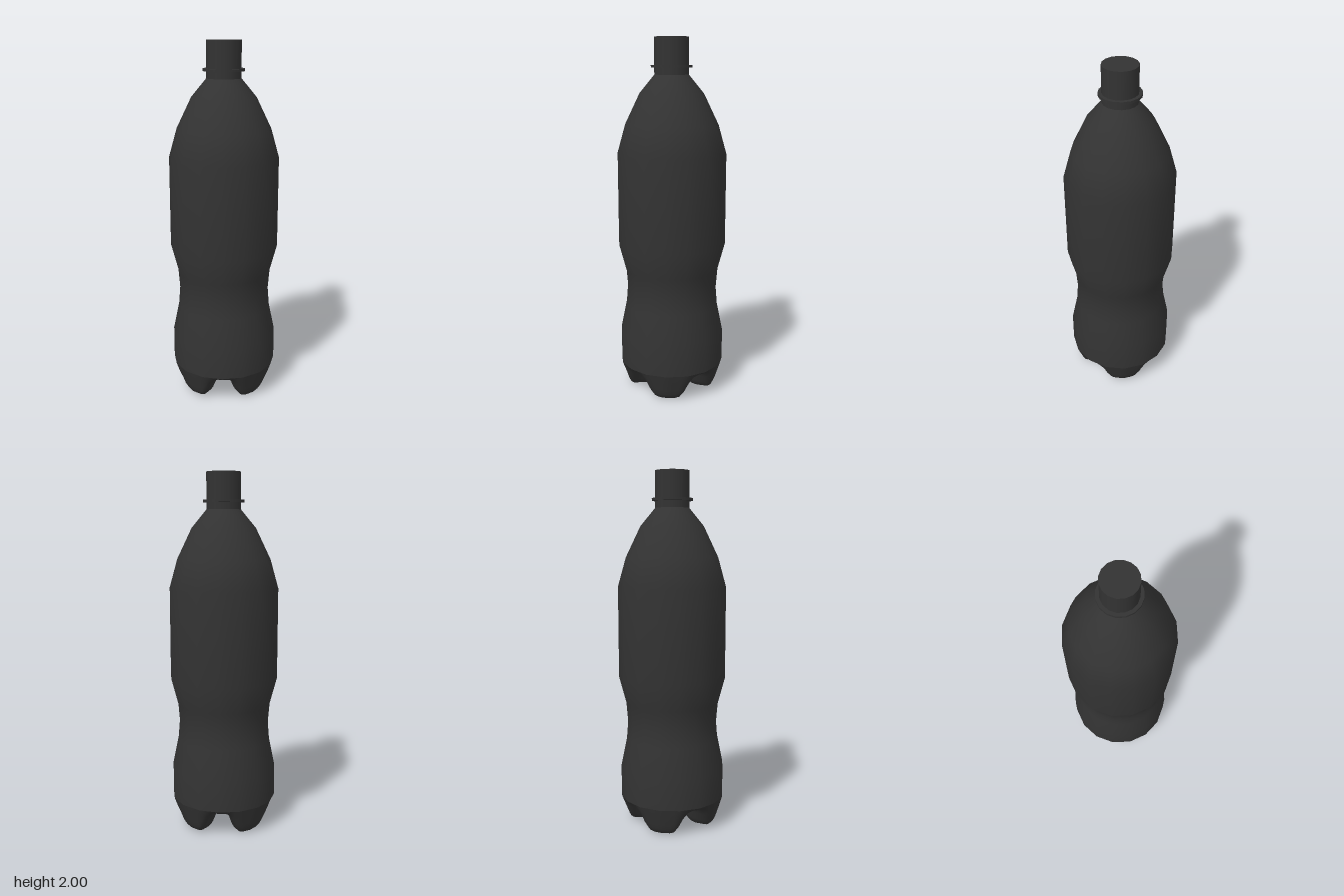
import * as THREE from 'three';

const SIDES = 16;
const material = new THREE.MeshStandardMaterial({ color: 0x333333, side: THREE.DoubleSide });
const points = (list) => list.map(([r, y]) => new THREE.Vector2(r, y));

function add(group, name, geometry, y = 0) {
  const mesh = new THREE.Mesh(geometry, material);
  mesh.name = name;
  mesh.position.y = y;
  group.add(mesh);
}

// Four-footed base: blends a foot profile with a groove profile around the axis
function baseGeometry() {
  const foot = new THREE.SplineCurve(points([
    [0.297, 0.16], [0.275, 0.09], [0.245, 0.012], [0.2, 0], [0.13, 0.004], [0.07, 0.06], [0, 0.1]]));
  const groove = new THREE.SplineCurve(points([
    [0.297, 0.16], [0.28, 0.145], [0.25, 0.14], [0.2, 0.138], [0.13, 0.13], [0.07, 0.115], [0, 0.1]]));
  const rows = 18, cols = 64, step = (Math.PI * 2) / SIDES;
  const position = [], index = [];
  for (let i = 0; i <= rows; i++) {
    const f = foot.getPoint(i / rows), g = groove.getPoint(i / rows);
    for (let j = 0; j < cols; j++) {
      const angle = (j / cols) * Math.PI * 2;
      // 0 at the middle of a foot, 1 in the middle of a groove
      const a = Math.abs(((angle + Math.PI / 4) % (Math.PI / 2)) - Math.PI / 4) / (Math.PI / 4);
      const p = f.clone().lerp(g, THREE.MathUtils.smoothstep(a, 0.3, 0.88));
      // keep the rim on the faceted outline of the body
      const facet = Math.cos(step / 2) / Math.cos((angle % step) - step / 2);
      const r = p.x * facet;
      position.push(r * Math.sin(angle), Math.max(0, p.y), r * Math.cos(angle));
      if (i < rows) {
        const k = (j + 1) % cols;
        const a0 = i * cols + j, a1 = i * cols + k;
        index.push(a0, a0 + cols, a1, a0 + cols, a1 + cols, a1);
      }
    }
  }
  const geometry = new THREE.BufferGeometry();
  geometry.setAttribute('position', new THREE.Float32BufferAttribute(position, 3));
  geometry.setIndex(index);
  geometry.computeVertexNormals();
  return geometry;
}

export function createModel() {
  const group = new THREE.Group();
  group.name = 'bottle';

  // Waisted body and sloping shoulder
  add(group, 'body', new THREE.LatheGeometry(points([
    [0.297, 0.16], [0.297, 0.34], [0.264, 0.5], [0.256, 0.6], [0.265, 0.71], [0.305, 0.86],
    [0.305, 1.37], [0.26, 1.53], [0.178, 1.7], [0.095, 1.8]]), SIDES));

  add(group, 'base', baseGeometry());

  // Neck with its collar, and the cap
  add(group, 'neck', new THREE.CylinderGeometry(0.095, 0.095, 0.05, SIDES, 1, true), 1.82);
  add(group, 'collar', new THREE.CylinderGeometry(0.114, 0.114, 0.014, SIDES), 1.845);
  add(group, 'cap', new THREE.CylinderGeometry(0.095, 0.095, 0.155, SIDES), 1.9225);

  return group;
}
